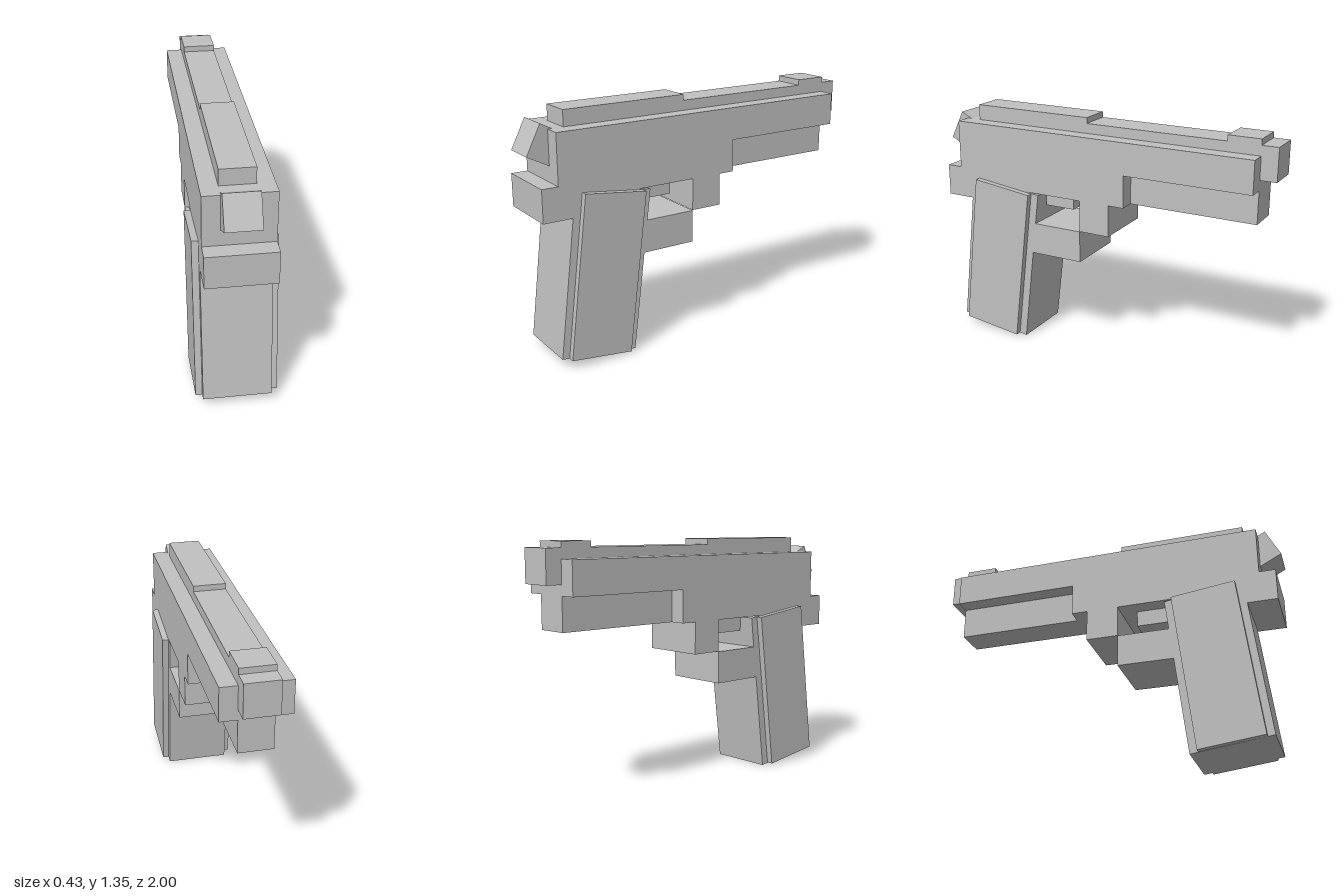
import * as THREE from 'three';

const grey = new THREE.MeshStandardMaterial({ color: 0xc0c0c0 });
grey.name = 'plain grey';

export function createModel() {
  const model = new THREE.Group();
  model.name = 'blockPistol';
  const WIDE = 0.18, NARROW = 0.09;

  // Box given by half width and its y and z ranges
  function block(name, half, y0, y1, z0, z1) {
    const mesh = new THREE.Mesh(new THREE.BoxGeometry(half * 2, y1 - y0, z1 - z0), grey);
    mesh.name = name;
    mesh.position.set(0, (y0 + y1) / 2, (z0 + z1) / 2);
    model.add(mesh);
    return mesh;
  }

  // Tilted side profile of [z, y] corners, extruded from x0 to x1
  function profile(name, corners, x0, x1) {
    const shape = new THREE.Shape(corners.map(([z, y]) => new THREE.Vector2(-z, y)));
    const geometry = new THREE.ExtrudeGeometry(shape, { depth: x1 - x0, bevelEnabled: false });
    geometry.rotateY(Math.PI / 2).translate(x0, 0, 0);
    const mesh = new THREE.Mesh(geometry, grey);
    mesh.name = name;
    model.add(mesh);
  }

  // Slide, frame and narrow rail under the muzzle end
  block('frame', WIDE, 0.905, 1.265, -0.19, 0.88);
  block('slideFront', WIDE, 1.085, 1.265, -0.91, -0.19);
  block('underRail', NARROW, 0.905, 1.085, -0.91, -0.19);
  block('rearTang', WIDE, 0.815, 0.993, 0.7, 0.97);

  // Barrel and raised top strip with sights
  block('barrel', NARROW, 1.14, 1.32, -1, -0.91);
  block('topStrip', NARROW, 1.265, 1.32, -0.91, 0.08);
  block('frontSight', NARROW, 1.32, 1.352, -0.91, -0.73);
  block('rearTopStrip', NARROW, 1.265, 1.352, 0.08, 0.795);

  // Trigger and its guard
  block('trigger', NARROW, 0.815, 0.905, 0.17, 0.35);
  block('guardFront', WIDE, 0.727, 0.905, -0.1, 0.08);
  block('guardBottom', WIDE, 0.545, 0.725, 0.08, 0.5);

  // Leaning grip with a raised panel on each side
  profile('grip', [[0.46, 0], [0.35, 0.895], [0.79, 0.949], [0.9, 0.057]], -WIDE, WIDE);
  const panel = [[0.505, 0.008], [0.395, 0.898], [0.75, 0.942], [0.86, 0.052]];
  profile('gripPanelLeft', panel, WIDE, 0.215);
  profile('gripPanelRight', panel, -0.215, -WIDE);

  // Tilted hammer
  profile('hammer', [[0.84, 1.058], [0.76, 1.217], [0.92, 1.298], [1, 1.139]], -NARROW, NARROW);

  // Extruded corners are listed either way round, so both sides are drawn
  grey.side = THREE.DoubleSide;
  return model;
}
